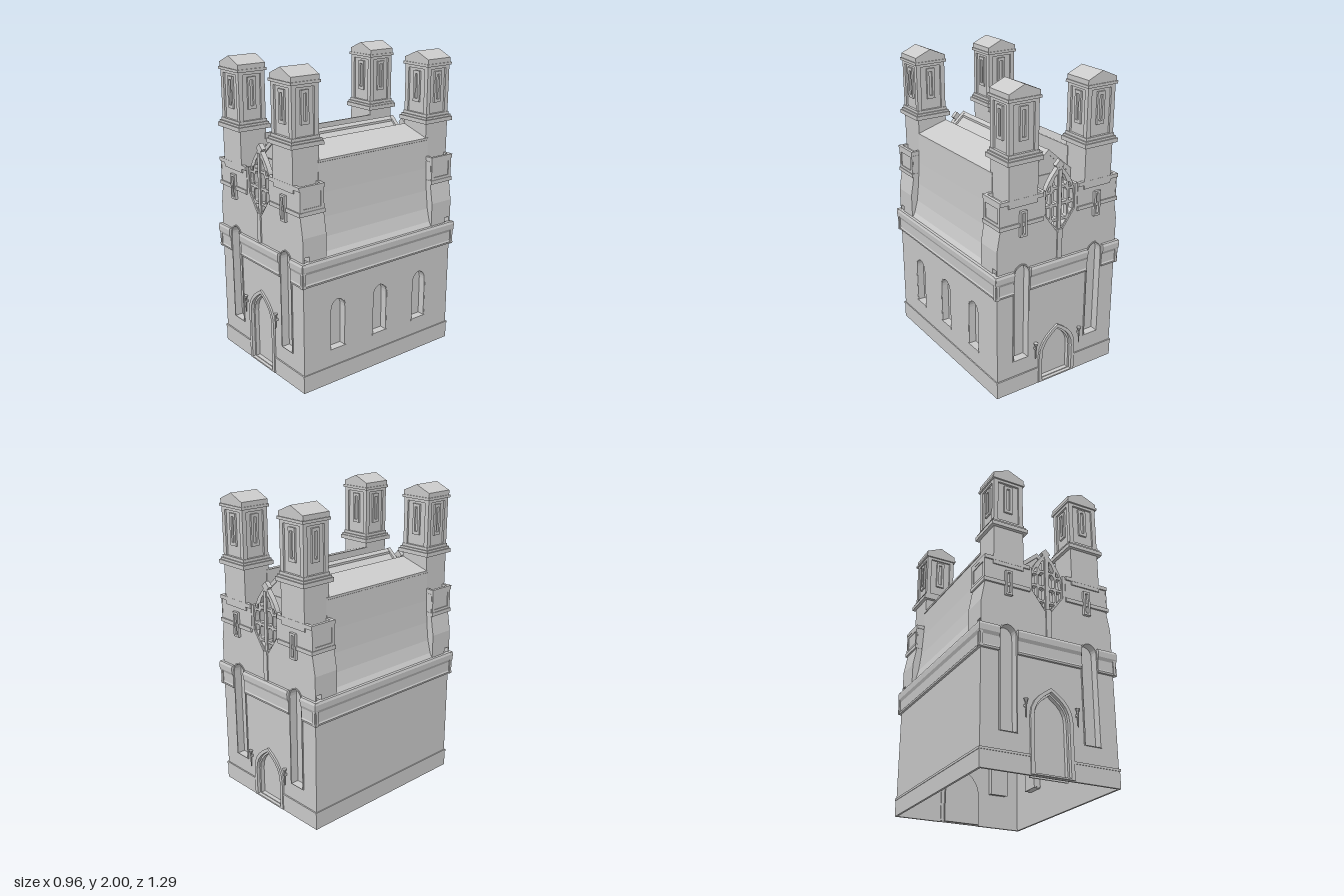
import * as THREE from 'three';

const mat = new THREE.MeshStandardMaterial({ color: 0xcccccc, flatShading: true });

function add(parent, name, geo, x = 0, y = 0, z = 0) {
  const m = new THREE.Mesh(geo, mat);
  m.name = name;
  m.position.set(x, y, z);
  parent.add(m);
  return m;
}

// box given by its limits
const span = (parent, name, x0, x1, y0, y1, z0, z1) =>
  add(parent, name, new THREE.BoxGeometry(x1 - x0, y1 - y0, z1 - z0), (x0 + x1) / 2, (y0 + y1) / 2, (z0 + z1) / 2);

const poly = pts => new THREE.Shape(pts.map(p => new THREE.Vector2(p[0], p[1])));
const extrude = (shape, depth) => new THREE.ExtrudeGeometry(shape, { depth, bevelEnabled: false, curveSegments: 6 });

// pointed or rounded arch outline; round near 1 gives a blunt top
function arch(cx, hw, y0, spring, top, round) {
  const s = new THREE.Shape(), k = (top - spring) * 0.6;
  s.moveTo(cx - hw, y0);
  s.lineTo(cx + hw, y0);
  s.lineTo(cx + hw, spring);
  s.bezierCurveTo(cx + hw, spring + k, cx + hw * 0.6 * round, top - (1 - round) * 0.04, cx, top);
  s.bezierCurveTo(cx - hw * 0.6 * round, top - (1 - round) * 0.04, cx - hw, spring + k, cx - hw, spring);
  s.closePath();
  return s;
}

function archFrame(cx, hw, y0, spring, top, t, round, depth) {
  const s = arch(cx, hw + t, y0 - t * 0.4, spring, top + t, round);
  s.holes.push(arch(cx, hw, y0, spring, top, round));
  return extrude(s, depth);
}

// rectangular frame centred on the origin
function rectFrame(w, h, iw, ih, depth) {
  const r = (a, b) => poly([[-a / 2, -b / 2], [a / 2, -b / 2], [a / 2, b / 2], [-a / 2, b / 2]]);
  const s = r(w, h);
  s.holes.push(r(iw, ih));
  return extrude(s, depth);
}

// moulded cornice running along z, projecting towards +x
function cornice(len) {
  const g = extrude(poly([[-0.006, 0.71], [0.014, 0.71], [0.016, 0.722], [0.011, 0.732], [0.012, 0.795],
    [0.021, 0.815], [0.023, 0.85], [0.017, 0.866], [-0.006, 0.866]]), len);
  return g.translate(0, 0, -len / 2);
}

function tower(parent, x, z) {
  const t = new THREE.Group();
  t.name = 'tower';
  t.position.set(x, 0, z);
  parent.add(t);
  const hx = 0.103, hz = 0.095;
  const slab = (name, y0, y1, e) => span(t, name, -hx - e, hx + e, y0, y1, -hz - e, hz + e);
  slab('towerShaft', 1.28, 1.55, 0);
  slab('towerLedge', 1.547, 1.573, 0.022);
  slab('towerLedgeStep', 1.573, 1.587, 0.014);
  slab('towerLedgeTop', 1.587, 1.605, 0.005);
  slab('towerCore', 1.6, 1.91, -0.012);
  slab('towerTopRail', 1.89, 1.91, 0);
  slab('capMoulding', 1.908, 1.925, 0.01);
  slab('capEaves', 1.925, 1.955, 0.004);
  for (const sx of [-1, 1]) for (const sz of [-1, 1])
    add(t, 'cornerPilaster', new THREE.BoxGeometry(0.03, 0.3, 0.03), sx * (hx - 0.015), 1.75, sz * (hz - 0.015));
  for (let i = 0; i < 4; i++) {
    const f = add(t, 'towerSlitFrame', rectFrame(0.056, 0.2, 0.022, 0.16, 0.014), 0, 1.775, 0);
    f.rotation.y = i * Math.PI / 2;
    f.position.x = Math.sin(f.rotation.y) * (hx - 0.014);
    f.position.z = Math.cos(f.rotation.y) * (hz - 0.014);
  }
  const e = hx + 0.004;
  add(t, 'gabledCap', extrude(poly([[-e, 1.954], [e, 1.954], [0, 2]]), 2 * hz + 0.008), 0, 0, -hz - 0.004);
}

// wall torch: tapered stick and cup on a bracket
function torch(parent, x, y, z) {
  const g = new THREE.Group();
  g.name = 'wallTorch';
  g.position.set(x, y, z);
  add(g, 'torchStick', new THREE.CylinderGeometry(0.007, 0.003, 0.1, 6), 0, 0, 0.014);
  add(g, 'torchCup', new THREE.CylinderGeometry(0.015, 0.007, 0.022, 6), 0, 0.055, 0.014);
  add(g, 'torchBracket', new THREE.BoxGeometry(0.012, 0.014, 0.026), 0, 0.025, 0.002);
  parent.add(g);
}

// pierced tracery plate with a mullion stem and finial
function tracery(parent) {
  const s = new THREE.Shape();
  s.moveTo(0, 1.02);
  s.lineTo(0.112, 1.16);
  s.lineTo(0.116, 1.25);
  s.bezierCurveTo(0.112, 1.36, 0.05, 1.41, 0.016, 1.455);
  s.lineTo(-0.016, 1.455);
  s.bezierCurveTo(-0.05, 1.41, -0.112, 1.36, -0.116, 1.25);
  s.lineTo(-0.112, 1.16);
  s.closePath();
  const panes = [
    [[0.018, 1.065], [0.052, 1.105], [0.052, 1.112], [0.018, 1.112]],
    [[0.018, 1.135], [0.026, 1.126], [0.05, 1.126], [0.057, 1.136], [0.057, 1.2], [0.049, 1.211], [0.026, 1.211], [0.018, 1.203]],
    [[0.018, 1.235], [0.026, 1.227], [0.05, 1.227], [0.057, 1.236], [0.057, 1.295], [0.042, 1.32], [0.018, 1.32]],
    [[0.018, 1.336], [0.048, 1.336], [0.054, 1.355], [0.036, 1.395], [0.018, 1.415]],
    [[0.069, 1.13], [0.099, 1.168], [0.101, 1.211], [0.069, 1.211]],
    [[0.069, 1.227], [0.103, 1.227], [0.103, 1.26], [0.097, 1.3], [0.069, 1.3]],
    [[0.069, 1.314], [0.091, 1.314], [0.08, 1.34], [0.067, 1.35]],
  ];
  for (const p of panes) for (const k of [1, -1]) s.holes.push(poly(p.map(([x, y]) => [x * k, y])));
  add(parent, 'tracery', extrude(s, 0.033), 0, 0, 0.563);
  span(parent, 'traceryStem', -0.018, 0.018, 0.86, 1.06, 0.57, 0.613);
  span(parent, 'traceryMullion', -0.012, 0.012, 1.04, 1.44, 0.558, 0.602);
  const f = add(parent, 'finial', new THREE.BoxGeometry(0.046, 0.046, 0.03), 0, 1.468, 0.58);
  f.rotation.z = Math.PI / 4;
}

// one end: wall, door, tall windows, shoulders and two towers
function facade(name, doorSpring, doorTop, torchY) {
  const g = new THREE.Group();
  g.name = name;
  const half = [[0.455, 1.02], [0.43, 1.16], [0.43, 1.3], [0.11, 1.3], [0.11, 1.17]];
  const crown = [...half, [0, 1.02], ...half.map(([x, y]) => [-x, y]).reverse()];
  const wall = poly([[-0.455, 0], [0.455, 0], ...crown]);
  wall.holes.push(arch(0, 0.118, 0.015, doorSpring, doorTop, 0.4));
  for (const k of [-1, 1]) wall.holes.push(arch(k * 0.28, 0.054, 0.23, 0.83, 0.895, 0.9));
  add(g, 'endWall', extrude(wall, 0.01), 0, 0, 0.595);
  add(g, 'upperWall', extrude(poly([[-0.455, 0.9], [0.455, 0.9], ...crown]), 0.166), 0, 0, 0.432);
  span(g, 'upperWallBase', -0.455, 0.455, 0.862, 0.9, 0.432, 0.557);

  add(g, 'door', extrude(arch(0, 0.125, 0, doorSpring, doorTop + 0.01, 0.4), 0.008), 0, 0, 0.56);
  add(g, 'doorFrame', archFrame(0, 0.118, 0.015, doorSpring, doorTop, 0.024, 0.4, 0.03), 0, 0, 0.588);
  add(g, 'doorInnerFrame', archFrame(0, 0.106, 0.02, doorSpring, doorTop - 0.014, 0.014, 0.4, 0.034), 0, 0, 0.562);
  const mid = add(g, 'endCornice', cornice(0.44), 0, 0, 0.605);
  mid.rotation.y = -Math.PI / 2;
  tracery(g);

  for (const k of [-1, 1]) {
    const sp = (n, a, b, ...r) => span(g, n, Math.min(k * a, k * b), Math.max(k * a, k * b), ...r);
    const c = add(g, 'endCornice', cornice(0.135), k * 0.4075, 0, 0.605);
    c.rotation.y = -Math.PI / 2;
    sp('endPlinth', 0.138, 0.459, 0, 0.108, 0.599, 0.61);
    sp('plinthMoulding', 0.138, 0.461, 0.105, 0.119, 0.599, 0.614);
    sp('tallWindowPane', 0.217, 0.343, 0.222, 0.9, 0.55, 0.558);
    add(g, 'tallWindowReveal', archFrame(k * 0.28, 0.052, 0.232, 0.83, 0.892, 0.008, 0.9, 0.057), 0, 0, 0.554);
    torch(g, k * 0.173, torchY, 0.608);

    // shoulder mouldings with a sunk top
    sp('shoulderBand', 0.13, 0.443, 1.15, 1.175, 0.43, 0.617);
    sp('shoulderRim', 0.13, 0.44, 1.305, 1.33, 0.595, 0.617);
    sp('shoulderRim', 0.13, 0.44, 1.305, 1.33, 0.43, 0.45);
    sp('shoulderRim', 0.42, 0.44, 1.305, 1.33, 0.43, 0.617);
    sp('shoulderRim', 0.11, 0.132, 1.29, 1.33, 0.432, 0.605);
    sp('shoulderFace', 0.13, 0.434, 1.17, 1.305, 0.434, 0.608);
    const side = add(g, 'shoulderPanel', rectFrame(0.175, 0.135, 0.13, 0.095, 0.006), k * 0.433, 1.24, 0.522);
    side.rotation.y = k * Math.PI / 2;
    add(g, 'slitFrame', rectFrame(0.048, 0.165, 0.02, 0.137, 0.035), k * 0.277, 1.168, 0.59);
    tower(g, k * 0.277, 0.521);
  }
  return g;
}

export function createModel() {
  const root = new THREE.Group();
  root.name = 'chapel';

  const front = facade('frontEnd', 0.35, 0.515, 0.375);
  const back = facade('backEnd', 0.2, 0.37, 0.25);
  back.rotation.y = Math.PI;
  back.position.z = -0.01;
  root.add(front, back);

  // thin side walls: windows on the left side only
  const z0 = -0.606, z1 = 0.596;
  const wall = poly([[-z1, 0], [-z0, 0], [-z0, 0.866], [-z1, 0.866]]);
  const bays = [-0.343, 0, 0.343];
  for (const u of bays) wall.holes.push(arch(u, 0.06, 0.228, 0.5, 0.576, 0.9));
  add(root, 'windowedWall', extrude(wall, 0.01).rotateY(Math.PI / 2), 0.445, 0, 0);
  for (const u of bays) {
    add(root, 'sideWindowReveal', archFrame(u, 0.054, 0.235, 0.5, 0.57, 0.01, 0.9, 0.052).rotateY(Math.PI / 2), 0.402, 0, 0);
    span(root, 'sideWindowPane', 0.398, 0.406, 0.225, 0.582, -u - 0.064, -u + 0.064);
    span(root, 'windowSill', 0.405, 0.459, 0.224, 0.236, -u - 0.062, -u + 0.062);
  }
  span(root, 'plainWall', -0.455, -0.445, 0, 0.866, z0, z1);

  for (const k of [-1, 1]) {
    span(root, 'sidePlinth', k * 0.454 - 0.005, k * 0.454 + 0.005, 0, 0.108, -0.62, 0.61);
    span(root, 'plinthMoulding', k * 0.456 - 0.006, k * 0.456 + 0.006, 0.105, 0.119, -0.624, 0.614);
    const c = add(root, 'sideCornice', cornice(1.256), k * 0.455, 0, -0.005);
    if (k < 0) c.rotation.y = Math.PI;

    // hollow steep roof flank with an eaves lip, shallow top and gutter wall
    const flank = [[0.455, 0.862], [0.435, 0.895], [0.412, 0.98], [0.397, 1.1], [0.387, 1.25], [0.38, 1.436],
      [0.383, 1.438], [0.383, 1.452], [0.18, 1.512], [0.17, 1.512], [0.17, 1.35], [0.18, 1.35], [0.18, 1.5],
      [0.37, 1.442], [0.375, 1.25], [0.386, 1.1], [0.4, 0.98], [0.424, 0.895], [0.44, 0.862]];
    add(root, 'roofFlank', extrude(poly(flank.map(([x, y]) => [k * x, y])), 0.89), 0, 0, -0.456);
  }

  // hollow central gable with closed ends, raised verges and ridge
  add(root, 'centralGable', extrude(poly([[-0.178, 1.355], [-0.178, 1.343], [0, 1.503], [0.178, 1.343], [0.178, 1.355],
    [0, 1.516]]), 0.94), 0, 0, -0.48);
  const end = apex => poly([[-0.175, 0.862], [0.175, 0.862], [0.175, 1.375], [0, apex], [-0.175, 1.375]]);
  const verge = poly([[-0.178, 1.375], [0.178, 1.375], [0, 1.532]]);
  verge.holes.push(poly([[-0.138, 1.377], [0.138, 1.377], [0, 1.5]]));
  for (const s of [-1, 1]) {
    add(root, 'gableEndWall', extrude(end(1.52), 0.016), 0, 0, -0.0135 + s * 0.474);
    add(root, 'gableVerge', extrude(verge, 0.028), 0, 0, -0.0175 + s * 0.4745);
  }
  add(root, 'ridge', extrude(poly([[-0.02, 1.492], [0.02, 1.492], [0.02, 1.512], [0, 1.53], [-0.02, 1.512]]), 0.94), 0, 0, -0.48);
  return root;
}
